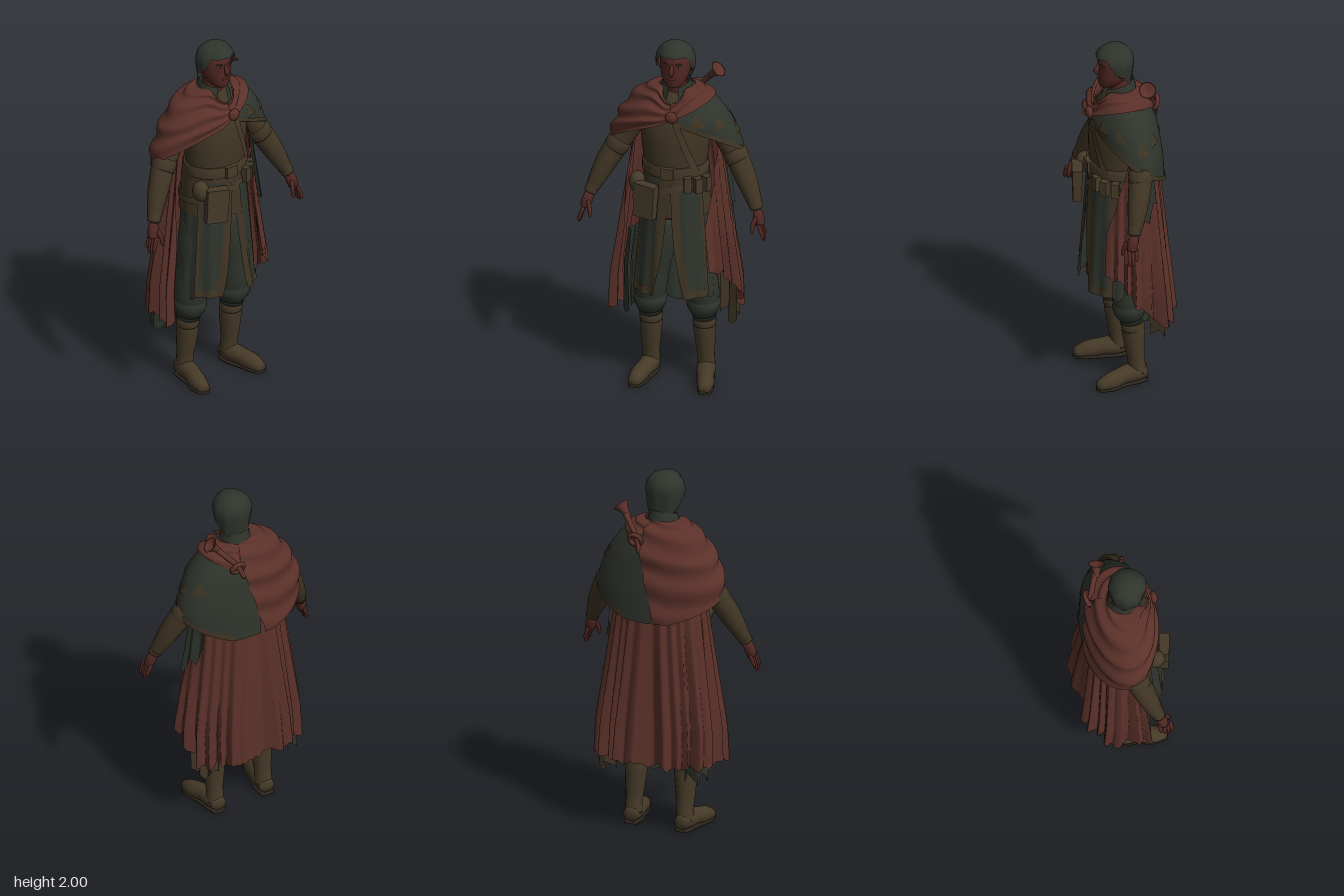
import * as THREE from 'three';
import { mergeVertices } from 'three/addons/utils/BufferGeometryUtils.js';

const paint = (name, color) => {
  const m = new THREE.MeshStandardMaterial({ color, side: THREE.DoubleSide });
  m.name = name;
  return m;
};
const V = (x, y, z) => new THREE.Vector3(x, y, z);
const D = Math.PI / 180;
const tri = x => Math.asin(Math.sin(x)) * 2 / Math.PI;
const clamp = (x, a = 0, b = 1) => Math.min(b, Math.max(a, x));

// smooth interpolation through rows of numbers
function spline(rows, t) {
  const n = rows.length - 1, i = Math.min(Math.floor(t * n), n - 1), w = t * n - i;
  const p = k => rows[clamp(i + k, 0, n)];
  return p(0).map((b, c) => {
    const a = p(-1)[c], d = p(1)[c], e = p(2)[c];
    return b + 0.5 * w * (d - a + w * (2 * a - 5 * b + 4 * d - e + w * (3 * (b - d) + e - a)));
  });
}
// grid surface from fn(u, v), seams welded
function sheet(fn, nu, nv) {
  const pos = [], idx = [];
  for (let j = 0; j <= nv; j++) for (let i = 0; i <= nu; i++) pos.push(...fn(i / nu, j / nv).toArray());
  for (let j = 0; j < nv; j++) for (let i = 0; i < nu; i++) {
    const a = j * (nu + 1) + i, b = a + nu + 1;
    idx.push(a, b, a + 1, a + 1, b, b + 1);
  }
  let g = new THREE.BufferGeometry();
  g.setAttribute('position', new THREE.Float32BufferAttribute(pos, 3));
  g.setIndex(idx);
  g = mergeVertices(g, 1e-5);
  g.computeVertexNormals();
  return g;
}
// closed body from rows [y, rx, rz, cz], top to bottom
const loft = (rows, nu = 28, nv = 24) => sheet((u, v) => {
  const [y, rx, rz, cz] = spline(rows, v), k = v === 0 || v === 1 ? 0 : 1, a = u * 2 * Math.PI;
  return V(Math.sin(a) * rx * k, y, cz + Math.cos(a) * rz * k);
}, nu, nv);
// round limb of changing thickness along a curve
function limb(pts, radii, nu = 12, nv = 16) {
  const c = new THREE.CatmullRomCurve3(pts.map(p => V(...p))), f = c.computeFrenetFrames(nv);
  const rr = radii.map(r => [r]);
  return sheet((u, v) => {
    const i = Math.round(v * nv), a = -u * 2 * Math.PI, r = i === 0 || i === nv ? 0 : spline(rr, v)[0];
    return c.getPointAt(v).addScaledVector(f.normals[i], Math.cos(a) * r).addScaledVector(f.binormals[i], Math.sin(a) * r);
  }, nu, nv);
}

// shoulder mantle surface: angle from the front, depth t from neck to hem
const MANTLE = [[1.74, .08, .07, .03], [1.715, .145, .1, .025], [1.67, .215, .135, .02], [1.58, .288, .172, .02],
  [1.5, .328, .18, .015], [1.4, .362, .186, .008], [1.3, .365, .19, .004], [1.2, .35, .192, 0]];
const mantle = (a, t, off = 0) => {
  const [y, rx, rz, cz] = spline(MANTLE, clamp(t));
  return V(Math.sin(a) * (rx + off), y + off * .5, cz + Math.cos(a) * (rz + off));
};
const mantleHem = a => Math.min(.98, .42 + .62 * Math.pow(Math.min(1, Math.abs(a) / Math.PI), .85));
const mantleTop = a => .28 * Math.exp(-a * a / .2);
// long pleated cape, boxier toward the hem
const cape = (a, y, off = 0) => {
  const k = (1.45 - y) / 1.05, w = Math.min(1.05, k * 1.3), e = 1 - .22 * clamp(k);
  const p = (.005 + .016 * k) * tri(a * 23 + Math.sin(a * 5) * 1.5) + .018 * k * Math.sin(a * 9 + 1) + off;
  const s = Math.sin(a), c = Math.cos(a);
  return V(Math.sign(s) * Math.abs(s) ** e * (.235 + .1 * w + p), y, Math.sign(c) * Math.abs(c) ** e * (.155 + .068 * k + p));
};
const capeHem = d => .7 - .29 * clamp((d - 55) / 55) + .015 * tri(d * .37) + .006 * tri(d * 1.1);
// tunic skirt
const skirt = (a, y, off = 0) => {
  const k = (1.28 - y) / .75, p = .006 * k * Math.sin(a * 16) + off;
  return V(Math.sin(a) * (.165 + .06 * k + p), y, .04 + Math.cos(a) * (.15 + .05 * k + p));
};

export function createModel() {
  const red = paint('red cloth', 0x5b3129), green = paint('green cloth', 0x2f342c), brown = paint('brown cloth', 0x403524);
  const leather = paint('leather', 0x463a28), skin = paint('skin', 0x502722), dark = paint('dark sole', 0x2c261d);
  const root = new THREE.Group();
  const add = (name, geo, mat, x = 0, y = 0, z = 0) => {
    const m = new THREE.Mesh(geo, mat);
    m.name = name;
    m.position.set(x, y, z);
    root.add(m);
    return m;
  };
  const ball = (name, mat, x, y, z, sx, sy, sz) => {
    const m = add(name, new THREE.SphereGeometry(1, 14, 10), mat, x, y, z);
    m.scale.set(sx, sy, sz);
  };

  // head and face
  add('head', loft([[1.965, .03, .04, .055], [1.945, .068, .08, .055], [1.905, .083, .092, .056], [1.86, .083, .092, .056],
    [1.815, .074, .086, .064], [1.78, .056, .062, .084], [1.757, .03, .03, .11]]), skin);
  add('neck', limb([[0, 1.64, .02], [0, 1.72, .03], [0, 1.83, .05]], [.065, .058, .058]), skin);
  add('nose', limb([[0, 1.905, .138], [0, 1.878, .152], [0, 1.855, .164], [0, 1.842, .145]], [.008, .011, .014, .011], 10, 10), skin);
  add('mouth', limb([[-.024, 1.813, .139], [0, 1.815, .15], [.024, 1.813, .139]], [.006, .007, .006], 8, 8), skin);
  for (const s of [-1, 1]) {
    ball('ear', skin, s * .09, 1.862, .045, .012, .03, .02);
    ball('eye', dark, s * .032, 1.886, .137, .008, .003, .006);
    add('brow', limb([[s * .016, 1.899, .146], [s * .034, 1.903, .14], [s * .054, 1.898, .125]], [.003, .004, .003], 8, 8), green);
  }
  // hair, with a low nape and a swept front
  add('hair', sheet((u, v) => {
    const a = (u * 2 - 1) * Math.PI, d = Math.abs(a) / Math.PI;
    const hem = 1.94 - .085 * clamp((d - .27) / .12) - .085 * clamp((d - .5) / .25);
    const y = 2 - (2 - hem) * v * v, h = clamp((y - 1.895) / .105);
    let r = Math.sqrt(1 - Math.pow(h, 2.3)) * (1 + .03 * Math.sin(a * 9) * v);
    if (y < 1.895) r -= (1.895 - y) * 1.3;
    const quiff = Math.pow(Math.max(0, Math.cos(a)), 2) * .018 * Math.min(1, v * 2);
    return V(Math.sin(a) * r * .108, y, .052 + Math.cos(a) * r * .098 + quiff);
  }, 40, 14), green);
  add('collar', sheet((u, v) => {
    const a = (20 + 320 * u) * D, r = .074 + .026 * v;
    return V(Math.sin(a) * r, 1.775 - .11 * v - .025 * Math.cos(a), .035 + Math.cos(a) * (r + .005));
  }, 30, 4), green);

  // torso, belt and hips
  add('tunic', loft([[1.72, .06, .055, .03], [1.67, .14, .09, .035], [1.58, .195, .12, .045], [1.47, .19, .138, .053],
    [1.35, .178, .138, .055], [1.26, .168, .135, .055], [1.1, .17, .135, .045], [.95, .14, .11, .03]]), brown);
  add('hipCloth', sheet((u, v) => skirt(u * 2 * Math.PI, 1.3 - .28 * v, .006), 48, 6), brown);
  add('belt', loft([[1.312, .172, .145, .054], [1.305, .181, .152, .054], [1.255, .181, .154, .052], [1.245, .172, .147, .052]], 36, 8), leather);
  add('buckle', new THREE.BoxGeometry(.07, .065, .02), leather, -.01, 1.28, .208);
  add('slantBelt', sheet((u, v) => {
    const a = (u * 2 - 1) * Math.PI;
    return skirt(a, 1.18 + .06 * Math.sin(a + .3) - .035 * v, .014);
  }, 48, 2), leather);
  add('chestStrap', sheet((u, v) => {
    const x = .03 + .11 * v + .03 * (u - .5), y = 1.58 - .3 * v + .02 * (u - .5);
    return V(x, y, .061 + .142 * Math.sqrt(1 - (x / .19) ** 2));
  }, 2, 10), leather);

  // skirt panels with trim
  for (const s of [-1, 1]) {
    const panel = (u, v, off) => {
      const y = 1.22 - .66 * v, from = 3 + 19 * v * v;
      return skirt(s * (from + (62 - from) * u) * D, y, off);
    };
    add('frontPanel', sheet((u, v) => panel(u, v, .008), 16, 12), green);
    add('panelEdge', sheet((u, v) => panel(u * .24, v, .013), 4, 12), brown);
    add('panelHem', sheet((u, v) => panel(u, .93 + .07 * v, .014), 16, 2), brown);
    add('panelOuterEdge', sheet((u, v) => panel(.88 + u * .12, v, .013), 3, 12), brown);
    add('sidePanel', sheet((u, v) => skirt(s * (58 + 56 * u) * D, 1.2 - (.64 + .03 * tri(u * 9)) * v), 20, 10), green);
  }
  add('backPanel', sheet((u, v) => skirt((108 + 144 * u) * D, 1.2 - (.8 + .03 * tri(u * 14)) * v, -.02), 36, 10), green);

  // pleated cape, its lining and the loose side cloth
  add('cape', sheet((u, v) => {
    const k = Math.min(1, v * 1.5), from = 75 - 40 * k, to = 282 + 12 * k, d = from + (to - from) * u;
    return cape(d * D, 1.46 - (1.46 - capeHem(d)) * v);
  }, 240, 18), red);
  for (const s of [-1, 1]) {
    add('capeLining', sheet((u, v) => cape(s * (96 + 44 * u) * D, .82 - (.48 + .03 * tri(u * 13)) * v, -.03), 40, 10), s > 0 ? brown : green);
  }
  add('sideCloth', sheet((u, v) => cape((78 + 36 * u) * D, 1.46 - (.34 + .16 * (1 - u) + .04 * tri(u * 12)) * v, .018), 40, 10), green);

  // mantle: green over the left shoulder, red folds over the right and round the neck
  const sweep = (a0, a1, t0, t1, off) => (u, v) => {
    const a = (a0 + (a1 - a0) * u) * D, lo = t0(a);
    return mantle(a, lo + (t1(a) - lo) * v, off(a, v));
  };
  add('greenMantle', sheet(sweep(0, 185, mantleTop, mantleHem, () => 0), 40, 18), green);
  add('mantleTrim', sheet(sweep(0, 160, a => mantleHem(a) - .04, mantleHem, () => .005), 40, 3), brown);
  add('redMantle', sheet((u, v) => {
    const from = -202 + 30 * v, a = from * (1 - u) * D, lo = mantleTop(a);
    const fold = .011 + .008 * Math.sin(v * 27 + 3 * Math.sin(a * 1.2)) * Math.min(1, Math.abs(a) * 1.5 + .3);
    return mantle(a, lo + (mantleHem(a) - lo) * v, fold);
  }, 72, 40), red);
  add('neckScarf', sheet(sweep(0, 165, mantleTop, a => .42 - .17 * Math.sin(a), (a, v) => .012 + .007 * Math.sin(v * 14 + a)), 40, 18), red);
  ball('brooch', red, .012, 1.615, .205, .034, .034, .02);
  // leaf ornaments
  for (const [deg, t] of [[30, .44], [58, .47], [90, .56], [118, .52]]) {
    add('leafOrnament', sheet((u, v) => {
      const th = u * 2 * Math.PI, r = v * .045 * (.72 + .28 * Math.cos(3 * th));
      return mantle(deg * D + r * Math.sin(th) / .27, t - r * Math.cos(th) / .65, .005);
    }, 24, 3), brown);
  }

  // arms and hands
  for (const s of [-1, 1]) {
    const p = (x, y, z) => [s * x, y, z];
    add('sleeve', limb([p(.19, 1.57, .01), p(.252, 1.46, .01), p(.318, 1.36, .02), p(.386, 1.24, .055), p(.462, 1.075, .105)],
      [.06, .06, .063, .054, .034], 16, 24), brown);
    add('sleeveFold', limb([p(.3, 1.39, .016), p(.325, 1.348, .023), p(.35, 1.305, .035)], [.06, .068, .06], 16, 8), brown);
    add('cuff', limb([p(.435, 1.14, .088), p(.452, 1.1, .1), p(.464, 1.072, .107)], [.038, .037, .035], 14, 8), brown);
    add('palm', limb([p(.46, 1.08, .105), p(.474, 1.035, .118), p(.485, .99, .128)], [.025, .03, .024], 12, 10), skin);
    for (let i = 0; i < 4; i++) {
      const z = .1 + i * .02, e = i === 0 ? .025 : i === 3 ? .012 : 0;
      add('finger', limb([p(.48, 1.015, z), p(.498, .97, z + .004), p(.51, .915 + e, z + .006)], [.011, .011, .008], 8, 8), skin);
    }
    add('thumb', limb([p(.464, 1.05, .135), p(.45, 1.005, .158), p(.446, .955, .168)], [.013, .012, .008], 8, 8), skin);

    // legs and boots
    add('trouserLeg', limb([p(.085, .98, .03), p(.115, .75, .035), p(.145, .52, .03), p(.147, .43, .02), p(.148, .345, .008)],
      [.1, .105, .092, .088, .06], 20, 24), green);
    add('kneePuff', limb([p(.145, .53, .03), p(.147, .45, .024), p(.148, .385, .012)], [.07, .092, .066], 20, 10), green);
    add('bootShaft', limb([p(.147, .4, .008), p(.147, .33, .004), p(.15, .2, -.005), p(.152, .1, -.015), p(.152, .04, -.02)],
      [.06, .062, .055, .047, .05], 16, 22), leather);
    add('bootCuff', limb([p(.147, .375, .008), p(.147, .345, .006), p(.147, .315, .004)], [.061, .064, .061], 16, 8), leather);
    const foot = limb([p(.15, .05, -.08), p(.153, .055, -.02), p(.165, .055, .06), p(.185, .04, .14), p(.197, .022, .228)],
      [.038, .052, .048, .047, .028], 16, 20);
    const q = foot.attributes.position;
    for (let i = 0; i < q.count; i++) q.setY(i, Math.max(.012, q.getY(i)));
    foot.computeVertexNormals();
    add('bootFoot', foot, leather);
    const sole = limb([p(.15, .006, -.08), p(.153, .006, -.02), p(.165, .006, .06), p(.185, .006, .14), p(.197, .006, .23)],
      [.036, .046, .042, .046, .028], 16, 20);
    const w = sole.attributes.position;
    for (let i = 0; i < w.count; i++) w.setY(i, clamp(w.getY(i), 0, .016));
    sole.computeVertexNormals();
    add('sole', sole, dark);
  }

  // satchel and belt pouches
  const bag = add('satchel', new THREE.BoxGeometry(.12, .19, .05), leather, -.125, 1.12, .226);
  bag.rotation.set(0, -.3, -.06);
  const flap = add('satchelFlap', new THREE.BoxGeometry(.126, .09, .056), leather, -.123, 1.175, .227);
  flap.rotation.copy(bag.rotation);
  ball('roundPouch', leather, -.185, 1.2, .165, .045, .06, .05);
  for (const [x, y, z, r] of [[.1, 1.225, .195, .3], [.15, 1.215, .165, .7], [.185, 1.21, .115, 1.1]]) {
    add('beltPouch', new THREE.BoxGeometry(.042, .085, .04), leather, x, y, z).rotation.y = r;
  }

  // horn slung on the back
  add('hornTube', limb([[.05, 1.58, -.16], [.08, 1.66, -.13], [.13, 1.72, -.1], [.18, 1.777, -.07]], [.012, .014, .015, .017], 12, 16), red);
  const bell = add('hornBell', new THREE.LatheGeometry([[.015, -.05], [.019, -.02], [.028, .005], [.046, .025], [.04, .022], [.001, 0]]
    .map(p => new THREE.Vector2(...p)), 18), red, .192, 1.79, -.062);
  bell.quaternion.setFromUnitVectors(V(0, 1, 0), V(.68, .7, .2).normalize());
  const coil = add('hornCoil', new THREE.TorusGeometry(.035, .013, 8, 20), red, .085, 1.655, -.14);
  coil.rotation.x = -.4;
  return root;
}
